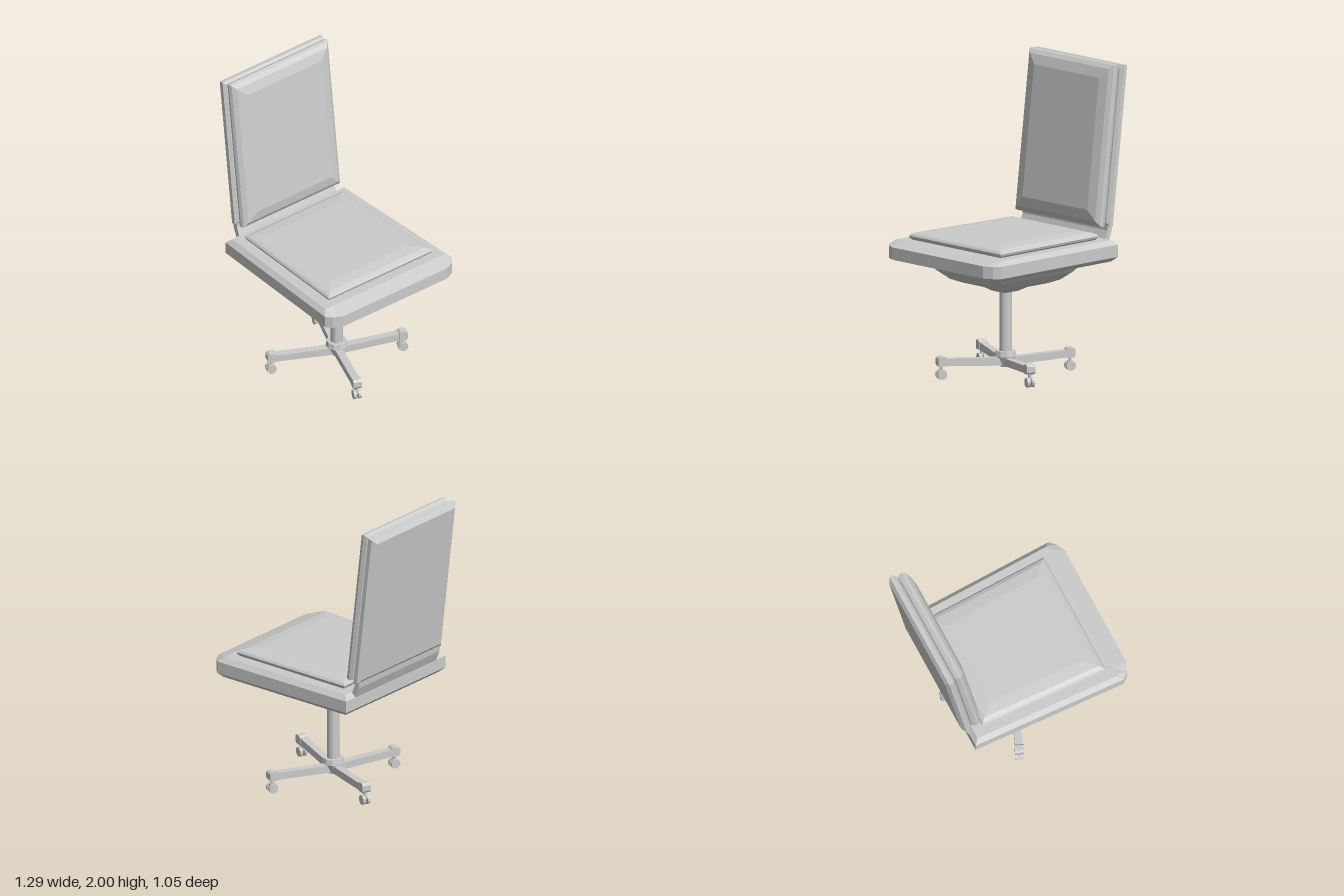
import * as THREE from 'three';

const grey = new THREE.MeshStandardMaterial({ color: 0xcccccc, flatShading: true });

function add(parent, name, geometry, x = 0, y = 0, z = 0) {
  const mesh = new THREE.Mesh(geometry, grey);
  mesh.name = name;
  mesh.position.set(x, y, z);
  parent.add(mesh);
  return mesh;
}

// Skin over stacked outlines. Each layer is [height, half outline of [x, z] from back to front].
function loft(layers) {
  const pos = [], index = [];
  const n = layers[0][1].length * 2;
  for (const [y, half] of layers) {
    const mirrored = half.map(([x, z]) => [x, -z]).reverse();
    for (const [x, z] of [...half, ...mirrored]) pos.push(x, y, z);
  }
  for (let r = 0; r < layers.length - 1; r++) {
    for (let j = 0; j < n; j++) {
      const a = r * n + j, b = r * n + (j + 1) % n;
      index.push(a, b, b + n, a, b + n, a + n);
    }
  }
  const top = (layers.length - 1) * n;
  for (let j = 1; j < n - 1; j++) {
    index.push(0, j + 1, j, top, top + j, top + j + 1);
  }
  const g = new THREE.BufferGeometry();
  g.setAttribute('position', new THREE.Float32BufferAttribute(pos, 3));
  g.setIndex(index);
  g.computeVertexNormals();
  return g;
}

// Padded slab with a tapered footprint; each step is [height, inset]
function slab(x0, z0, x1, z1, steps) {
  return loft(steps.map(([y, i]) => [y, [[x0 + i, z0 - i], [x1 - i, z1 - i]]]));
}

// Side profile in x/y, extruded symmetrically across z
function profile(points, width) {
  const shape = new THREE.Shape(points.map(([x, y]) => new THREE.Vector2(x, y)));
  return new THREE.ExtrudeGeometry(shape, { depth: width, bevelEnabled: false })
    .translate(0, 0, -width / 2);
}

export function createModel() {
  const chair = new THREE.Group();
  chair.name = 'officeChair';
  const cx = 0.045;

  // Seat base with bevelled rim and tapered nose
  const outer = [[-0.48, 0.49], [0.57, 0.526], [0.61, 0.49], [0.64, 0.43]];
  const inner = [[-0.45, 0.46], [0.54, 0.495], [0.54, 0.48], [0.54, 0.43]];
  add(chair, 'seatBase', loft([[0.74, inner], [0.77, outer], [0.85, outer], [0.88, inner]]));

  // Seat cushion
  add(chair, 'seatCushion', slab(-0.39, 0.405, 0.49, 0.43,
    [[0.875, 0.02], [0.89, 0.005], [0.905, 0], [0.918, 0.01], [0.928, 0.035], [0.936, 0.11]]));

  // Reclined backrest: slabs laid flat, then turned upright
  const back = new THREE.Group();
  back.name = 'backrest';
  back.position.set(-0.59, 1.47, 0);
  back.rotation.z = -Math.PI / 2 + 0.12;
  chair.add(back);
  add(back, 'backShell', slab(-0.522, 0.415, 0.522, 0.415,
    [[0, 0.03], [0.022, 0], [0.05, 0], [0.066, 0.02]]));
  add(back, 'backCushion', slab(-0.525, 0.405, 0.53, 0.405,
    [[0.062, 0.03], [0.075, 0.01], [0.1, 0], [0.12, 0.008], [0.14, 0.035], [0.156, 0.1]]));

  // Strip joining the backrest to the seat
  add(chair, 'backBracket', profile(
    [[-0.48, 0.85], [-0.45, 0.87], [-0.475, 0.93], [-0.475, 0.98], [-0.515, 0.98], [-0.508, 0.92]], 0.8));

  // Four-sided bowl under the seat
  const bowl = [[0, 0.55], [0.06, 0.55], [0.1, 0.575], [0.19, 0.6], [0.25, 0.625], [0.31, 0.68], [0.36, 0.745]]
    .map(([r, y]) => new THREE.Vector2(r * Math.SQRT2, y));
  add(chair, 'underSeatBowl', new THREE.LatheGeometry(bowl, 4, Math.PI / 4).toNonIndexed(), cx + 0.005);

  // Column and hub
  add(chair, 'column', new THREE.CylinderGeometry(0.04, 0.04, 0.43, 16), cx, 0.355, 0);
  add(chair, 'hubCollar', new THREE.CylinderGeometry(0.065, 0.072, 0.035, 10), cx, 0.143, 0);
  add(chair, 'hub', new THREE.CylinderGeometry(0.065, 0.035, 0.07, 10), cx, 0.092, 0);

  // Four arms, each ending in a caster
  for (let k = 0; k < 4; k++) {
    const leg = new THREE.Group();
    leg.name = 'leg' + (k + 1);
    leg.position.x = cx;
    leg.rotation.y = -0.39 + k * Math.PI / 2;
    chair.add(leg);
    add(leg, 'arm', profile([[0, 0.065], [0.43, 0.09], [0.43, 0.138], [0, 0.115]], 0.05));
    add(leg, 'armEnd', profile(
      [[0.41, 0.095], [0.42, 0.088], [0.46, 0.088], [0.468, 0.1], [0.468, 0.138], [0.455, 0.15], [0.42, 0.15], [0.41, 0.14]], 0.058));
    add(leg, 'casterStem', new THREE.CylinderGeometry(0.011, 0.011, 0.06, 8), 0.44, 0.07, 0);
    add(leg, 'casterHood', new THREE.BoxGeometry(0.035, 0.025, 0.02), 0.44, 0.05, 0);
    for (const s of [-1, 1]) {
      const wheel = new THREE.CylinderGeometry(0.032, 0.032, 0.018, 12).rotateX(Math.PI / 2);
      add(leg, 'casterWheel', wheel, 0.44, 0.032, s * 0.016);
    }
  }
  return chair;
}
